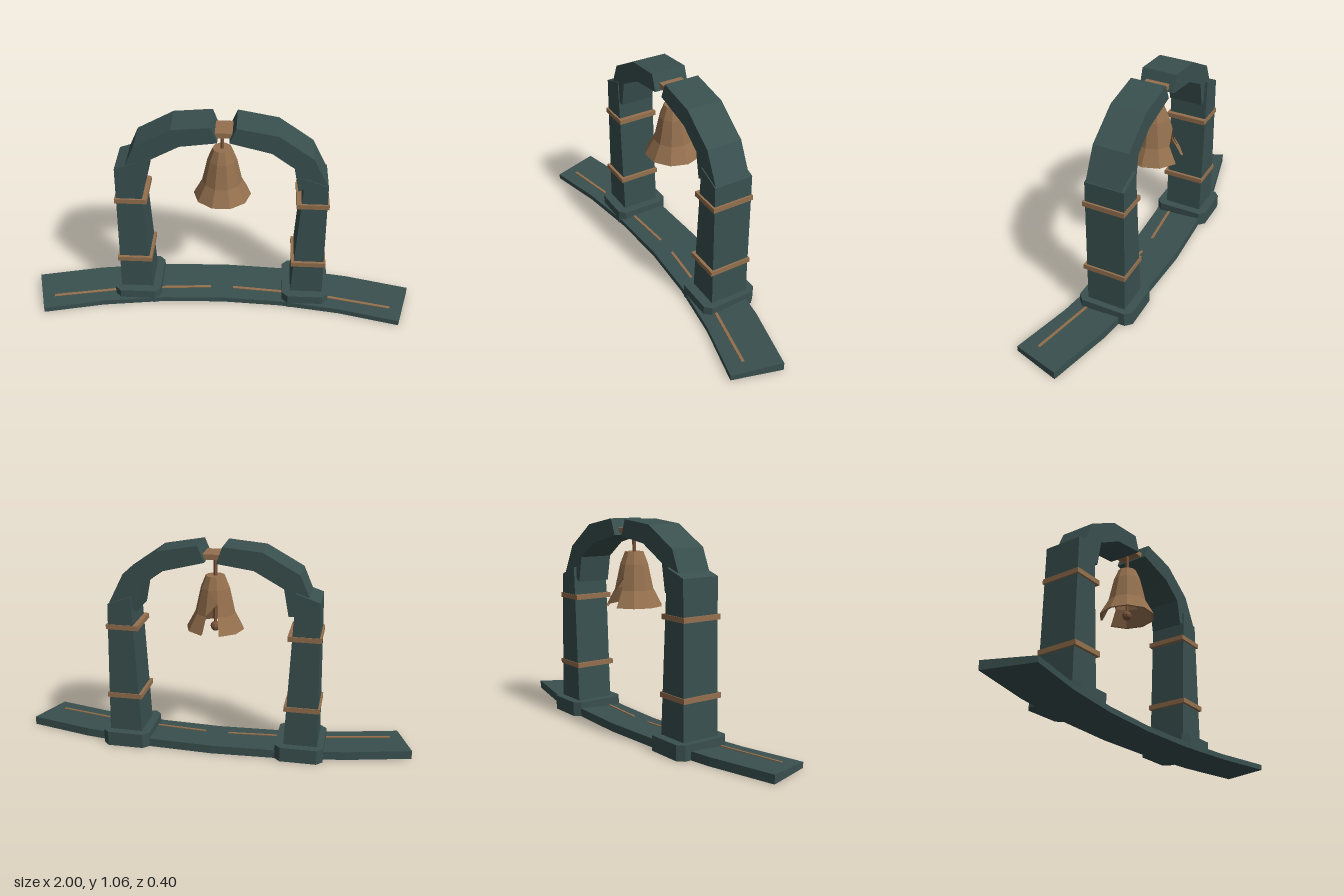
import * as THREE from 'three';

const flat = (name, color, side = THREE.FrontSide) => {
  const m = new THREE.MeshStandardMaterial({ color, flatShading: true, side });
  m.name = name;
  return m;
};

export function createModel() {
  const stone = flat('darkStone', 0x39504f);
  const copper = flat('copper', 0x94704e);
  const bellCopper = flat('bellCopper', 0x94704e, THREE.DoubleSide);
  const darkCopper = flat('darkCopper', 0x7c553c);
  const model = new THREE.Group();
  model.name = 'bellArch';
  const zMid = -0.05;

  const add = (name, geometry, material, x = 0, y = 0, z = 0) => {
    const mesh = new THREE.Mesh(geometry, material);
    mesh.name = name;
    mesh.position.set(x, y, z);
    model.add(mesh);
    return mesh;
  };

  // Front outline extruded from z0 to z1
  const prism = (pts, z0, z1) => {
    const shape = new THREE.Shape(pts.map(([x, y]) => new THREE.Vector2(x, y)));
    return new THREE.ExtrudeGeometry(shape, { depth: z1 - z0, bevelEnabled: false }).translate(0, 0, z0);
  };

  // Bar swept along a flat arc; the section is four [radius, height] corners
  const arcBar = (section, angles) => {
    const pos = [], idx = [];
    angles.forEach((deg, i) => {
      const a = THREE.MathUtils.degToRad(deg);
      for (const [r, y] of section) pos.push(r * Math.sin(a), y, 3.43 - r * Math.cos(a));
      if (i === 0) return;
      for (let j = 0; j < 4; j++) {
        const p = (i - 1) * 4 + j, q = (i - 1) * 4 + (j + 1) % 4;
        idx.push(p, q, q + 4, p, q + 4, p + 4);
      }
    });
    const e = (angles.length - 1) * 4;
    idx.push(0, 2, 1, 0, 3, 2, e, e + 1, e + 2, e, e + 2, e + 3);
    const g = new THREE.BufferGeometry();
    g.setAttribute('position', new THREE.Float32BufferAttribute(pos, 3));
    g.setIndex(idx);
    g.computeVertexNormals();
    return g;
  };

  // Curved base, thinner along its front edge
  const steps = [-3, -2, -1, 0, 1, 2, 3].map((i) => i * 5.35);
  add('base', arcBar([[3.615, 0.043], [3.36, 0.028], [3.36, 0], [3.615, 0]], steps), stone);

  // Inlaid strips on the base
  for (const [a, b] of [[-15, -8], [-8, -1], [1, 8], [8, 15]]) {
    add('inlay', arcBar([[3.447, 0.037], [3.433, 0.036], [3.433, 0.03], [3.447, 0.03]], [a, b]), copper);
  }

  // Plinths, pillars and bands; the pillars break off at different heights
  const c = 0.03, hw = 0.121, hd = 0.146;
  const plinth = [[-hw + c, -hd], [hw - c, -hd], [hw, -hd + c], [hw, hd - c],
    [hw - c, hd], [-hw + c, hd], [-hw, hd - c], [-hw, -hd + c]];
  for (const s of [-1, 1]) {
    const side = s > 0 ? 'left' : 'right';
    add(side + 'Plinth', prism(plinth, 0, 0.075).rotateX(-Math.PI / 2), stone, s * 0.444, 0, -0.053);
    const [outerTop, innerTop] = s > 0 ? [0.75, 0.795] : [0.82, 0.86];
    add(side + 'Pillar', prism([[s * 0.535, 0.02], [s * 0.52, outerTop],
      [s * 0.403, innerTop], [s * 0.363, 0.02]], -0.155, 0.045), stone);
    add(side + 'LowerBand', new THREE.BoxGeometry(0.178, 0.025, 0.22), copper, s * 0.45, 0.268, zMid);
    add(side + 'UpperBand', new THREE.BoxGeometry(0.162, 0.025, 0.214), copper, s * 0.451, 0.635, zMid - 0.002);
  }

  // Two unequal halves of the broken arch
  add('rightArch', prism([[-0.5, 0.76], [-0.42, 0.945], [-0.24, 1.045], [-0.05, 1.062],
    [-0.02, 0.98], [-0.2, 0.955], [-0.345, 0.875], [-0.37, 0.74], [-0.405, 0.742]], -0.14, 0.04), stone);
  add('leftArch', prism([[0.517, 0.752], [0.44, 0.905], [0.27, 1.025], [0.07, 1.062],
    [0.037, 0.982], [0.24, 0.93], [0.35, 0.85], [0.375, 0.718], [0.41, 0.735]], -0.14, 0.04), stone);

  // Crossbar in the gap, with the hanger below
  add('crossbar', new THREE.BoxGeometry(0.11, 0.026, 0.12), copper, 0.01, 1.003, zMid);
  add('hanger', new THREE.CylinderGeometry(0.01, 0.01, 0.11, 6), darkCopper, 0, 0.945, zMid);

  // Ten-sided bell with one facet left out at the back
  const outer = [[0, 0.9], [0.048, 0.9], [0.072, 0.84], [0.1, 0.715], [0.144, 0.633]];
  const inner = [[0.132, 0.633], [0.09, 0.715], [0.062, 0.835], [0.04, 0.885], [0, 0.885]];
  const profile = [...outer, ...inner].map(([r, y]) => new THREE.Vector2(r, y));
  const rad = THREE.MathUtils.degToRad;
  add('bell', new THREE.LatheGeometry(profile, 9, rad(198), rad(324)), bellCopper, 0, 0, zMid);

  // Back facet, broken off along a slanted edge: outer skin, edge, inner skin
  const rows = [[0, 0.9, 0, 0.9], [0.048, 0.9, 0.048, 0.9], [0.072, 0.84, 0.072, 0.84],
    [0.1, 0.715, 0.088, 0.78], [0.09, 0.715, 0.077, 0.78], [0.062, 0.835, 0.062, 0.835],
    [0.04, 0.885, 0.04, 0.885], [0, 0.885, 0, 0.885]];
  const pos = [], idx = [];
  rows.forEach(([r1, y1, r2, y2], i) => {
    const sx = Math.sin(rad(18)), cz = Math.cos(rad(18));
    pos.push(r1 * sx, y1, -r1 * cz, -r2 * sx, y2, -r2 * cz);
    const k = i * 2;
    if (i) idx.push(k - 2, k, k + 1, k - 2, k + 1, k - 1);
  });
  const facet = new THREE.BufferGeometry();
  facet.setAttribute('position', new THREE.Float32BufferAttribute(pos, 3));
  facet.setIndex(idx.reverse());
  facet.computeVertexNormals();
  add('brokenBellFacet', facet, bellCopper, 0, 0, zMid);

  // Clapper
  add('clapperRod', new THREE.CylinderGeometry(0.008, 0.008, 0.24, 6), darkCopper, 0, 0.765, zMid);
  add('clapperBall', new THREE.SphereGeometry(0.025, 8, 6), darkCopper, 0, 0.64, zMid);

  return model;
}
